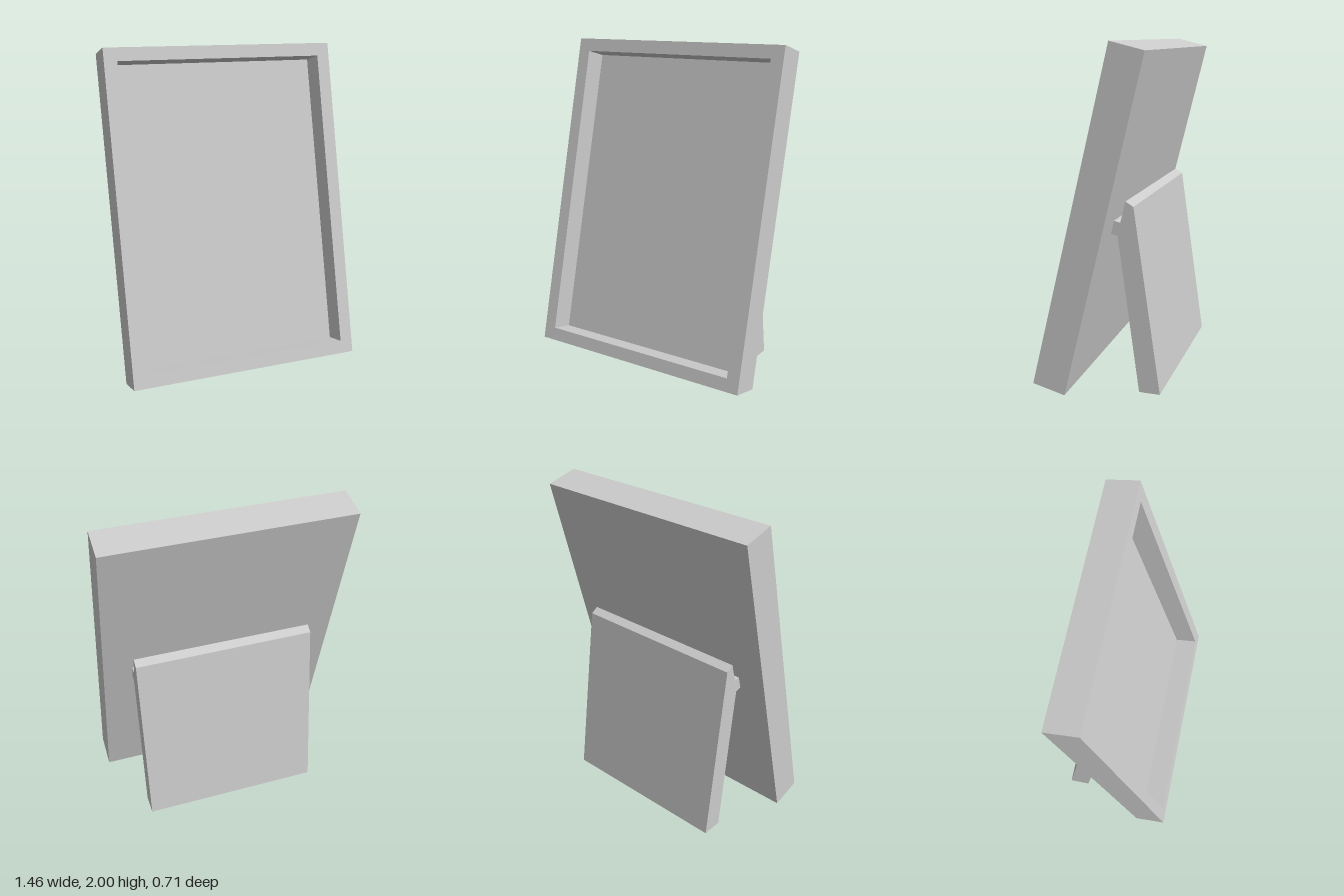
import * as THREE from 'three';

const W = 1.464, H = 2.007, DEPTH = 0.2; // outer frame
const RIM = 0.08, RECESS = 0.145;        // border width and depth of the opening
const TILT = -0.2387;                    // frame leans back

function rectangle(PathType, w, h) {
  const p = new PathType();
  p.moveTo(-w / 2, -h / 2);
  p.lineTo(w / 2, -h / 2);
  p.lineTo(w / 2, h / 2);
  p.lineTo(-w / 2, h / 2);
  p.closePath();
  return p;
}

export function createModel() {
  const group = new THREE.Group();
  const material = new THREE.MeshStandardMaterial({ color: 0xcccccc, flatShading: true });

  const add = (parent, name, geometry) => {
    const mesh = new THREE.Mesh(geometry, material);
    mesh.name = name;
    parent.add(mesh);
    return mesh;
  };

  // Leaning picture frame: rim around a recess, closed by a back panel
  const frame = new THREE.Group();
  frame.name = 'pictureFrame';
  frame.position.set(0, 1.0015, 0.023);
  frame.rotation.x = TILT;
  group.add(frame);

  const rim = rectangle(THREE.Shape, W, H);
  rim.holes.push(rectangle(THREE.Path, W - 2 * RIM, H - 2 * RIM));
  const rimGeometry = new THREE.ExtrudeGeometry(rim, { depth: RECESS, bevelEnabled: false });
  rimGeometry.translate(0, 0, DEPTH / 2 - RECESS);
  add(frame, 'frameRim', rimGeometry);

  const panel = DEPTH - RECESS;
  add(frame, 'backPanel', new THREE.BoxGeometry(W, H, panel)).position.z = (panel - DEPTH) / 2;

  // Rear stand with its hinge lip: side profile as (z, y), extruded across the width
  const standWidth = 1.11;
  const profile = [
    [-0.357, 0], [-0.232, 0], [-0.103, 0.928], [-0.062, 0.938],
    [-0.081, 1.014], [-0.119, 1.005], [-0.15, 1.128], [-0.196, 1.1],
  ].map(([z, y]) => new THREE.Vector2(z, y));
  const standGeometry = new THREE.ExtrudeGeometry(new THREE.Shape(profile), {
    depth: standWidth, bevelEnabled: false,
  });
  standGeometry.translate(0, 0, -standWidth / 2);
  standGeometry.rotateY(-Math.PI / 2);
  add(group, 'rearStand', standGeometry);

  return group;
}
